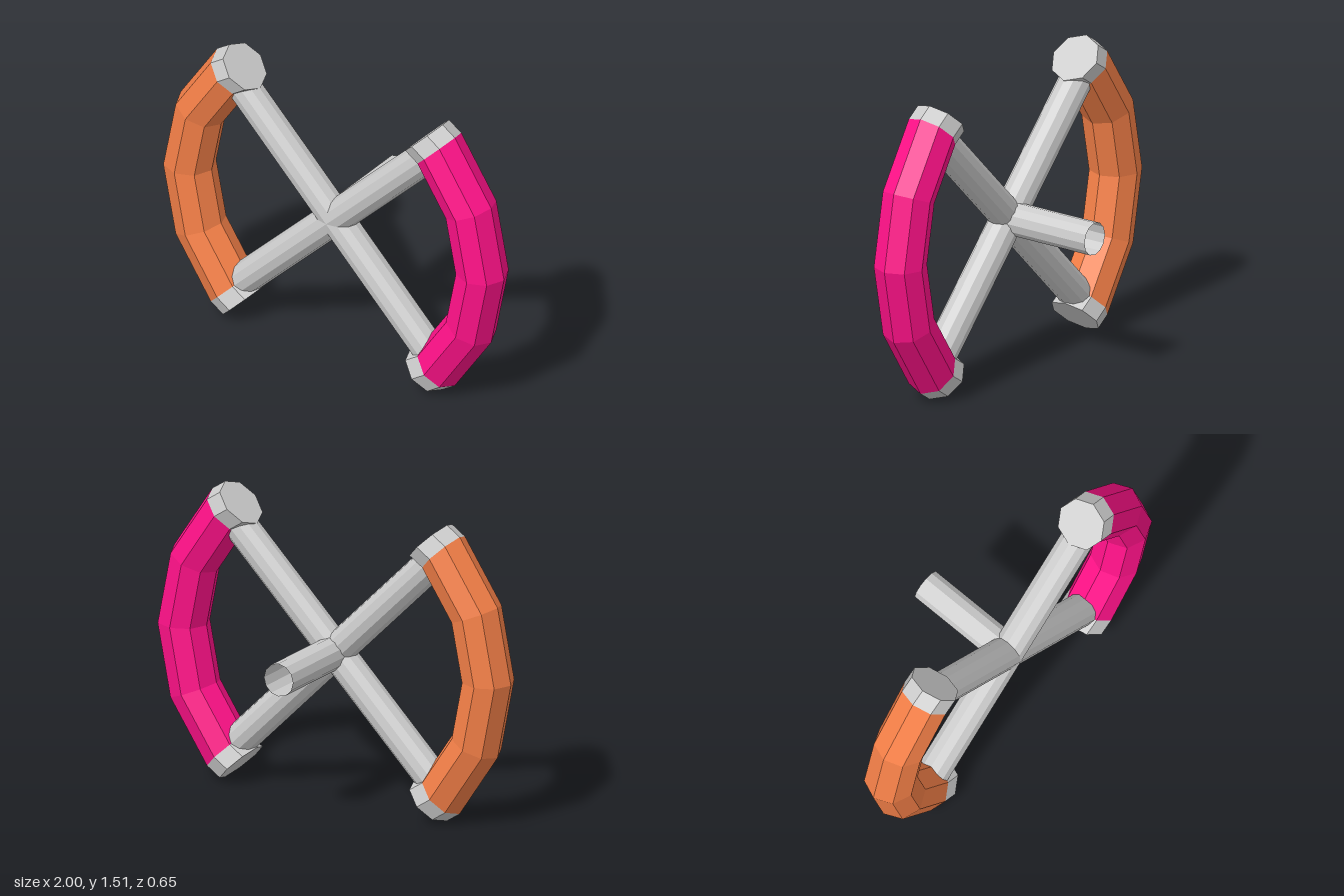
import * as THREE from 'three';

const R = 0.87;        // grip ring radius
const TUBE = 0.13;     // grip thickness
const ROD = 0.083;     // spoke and column radius
const CAP = 0.086;     // cap length
const CENTER = new THREE.Vector3(0, 0.757, 0.195);

const mat = (color, side = THREE.FrontSide) =>
  new THREE.MeshStandardMaterial({ color, flatShading: true, side });

function part(name, geometry, material) {
  const mesh = new THREE.Mesh(geometry, material);
  mesh.name = name;
  return mesh;
}

// Octagonal end cap, sheared so it continues the ring's next facet and ends flat
function capGeometry() {
  const g = new THREE.CylinderGeometry(TUBE, TUBE, CAP, 8);
  g.translate(0, CAP / 2, 0);
  const p = g.attributes.position;
  for (let i = 0; i < p.count; i++) {
    p.setX(i, p.getX(i) - p.getY(i) * Math.tan(Math.PI / 16));
  }
  g.translate(R, 0, 0);
  g.computeVertexNormals();
  return g;
}

// Quarter-ring grip on the +x side with a cap at each end
function createHandle(name, color, grey) {
  const handle = new THREE.Group();
  handle.name = name;
  const arc = new THREE.TorusGeometry(R, TUBE, 8, 4, Math.PI / 2);
  arc.rotateZ(-Math.PI / 4);
  handle.add(part('grip', arc, mat(color)));

  const upper = capGeometry().rotateZ(Math.PI / 4);
  const lower = capGeometry().rotateX(Math.PI).rotateZ(-Math.PI / 4);
  handle.add(part('upperCap', upper, grey), part('lowerCap', lower, grey));
  return handle;
}

export function createModel() {
  const model = new THREE.Group();
  model.name = 'steeringWheel';
  const wheel = new THREE.Group();
  wheel.name = 'wheel';
  wheel.position.copy(CENTER);
  model.add(wheel);

  const grey = mat(0xcccccc);

  // Handles: the right one is the left one turned half round
  const left = createHandle('leftHandle', 0xff1188, grey);
  const right = createHandle('rightHandle', 0xf58048, grey);
  right.rotation.z = Math.PI;
  wheel.add(left, right);

  // Crossed spokes reaching into the grip ends
  for (const [name, turn] of [['risingSpoke', -1], ['fallingSpoke', 1]]) {
    const spoke = part(name, new THREE.CylinderGeometry(ROD, ROD, 2 * R, 12), grey);
    spoke.rotation.z = turn * Math.PI / 4;
    wheel.add(spoke);
  }

  // Hollow column pointing backwards from the hub
  const length = 0.525;
  const tube = new THREE.CylinderGeometry(ROD, ROD, length, 12, 1, true);
  tube.rotateX(Math.PI / 2);
  tube.translate(0, 0, -length / 2);
  wheel.add(part('column', tube, mat(0xcccccc, THREE.DoubleSide)));

  return model;
}
